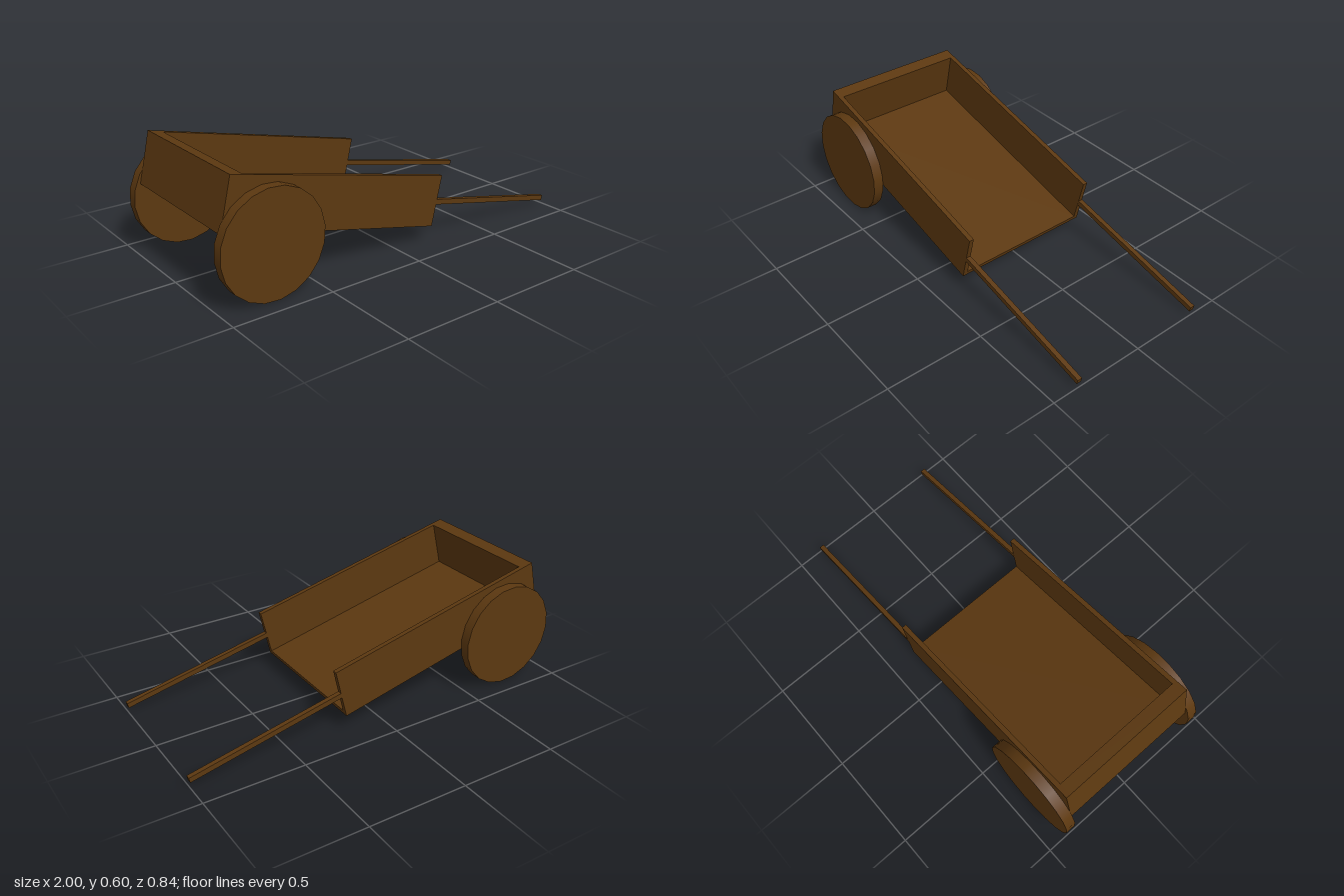
import * as THREE from 'three';

export function createModel() {
  const cart = new THREE.Group();
  cart.name = 'handCart';
  const wood = new THREE.MeshStandardMaterial({ color: 0x5c3810 });
  wood.name = 'dark brown wood';

  const add = (parent, name, geometry, x, y, z) => {
    const mesh = new THREE.Mesh(geometry, wood);
    mesh.name = name;
    mesh.position.set(x, y, z);
    parent.add(mesh);
    return mesh;
  };

  // Tilted tray, open at the handle end
  const length = 1.191, height = 0.256, board = 0.024, inner = 0.343;
  const endThick = 0.066, floorThick = 0.021;
  const tray = new THREE.Group();
  tray.name = 'tray';
  tray.position.set(-0.355, 0.34, 0);
  tray.rotation.z = -Math.atan2(0.27, 1.16);
  cart.add(tray);

  add(tray, 'floor', new THREE.BoxGeometry(length - endThick, floorThick, inner * 2),
    endThick / 2, (floorThick - height) / 2, 0);
  add(tray, 'endWall', new THREE.BoxGeometry(endThick, height, inner * 2),
    (endThick - length) / 2, 0, 0);

  // Shaft runs from the open end of the side wall down to the grip
  const start = new THREE.Vector2(0.224, 0.2);
  const end = new THREE.Vector2(0.997, 0.033);
  const run = end.clone().sub(start);

  for (const side of [1, -1]) {
    const label = side > 0 ? 'front' : 'back';
    const z = side * (inner + board / 2);
    add(tray, label + 'SideWall', new THREE.BoxGeometry(length, height, board), 0, 0, z);

    const handle = add(cart, label + 'Handle', new THREE.BoxGeometry(run.length(), 0.026, board),
      (start.x + end.x) / 2, (start.y + end.y) / 2, z);
    handle.rotation.z = run.angle();

    // Solid disc wheel
    const disc = new THREE.CylinderGeometry(0.262, 0.262, 0.052, 20);
    disc.rotateX(Math.PI / 2);
    const wheel = add(cart, label + 'Wheel', disc, -0.739, 0.262, side * 0.393);
    wheel.rotation.z = tray.rotation.z;
  }
  return cart;
}
